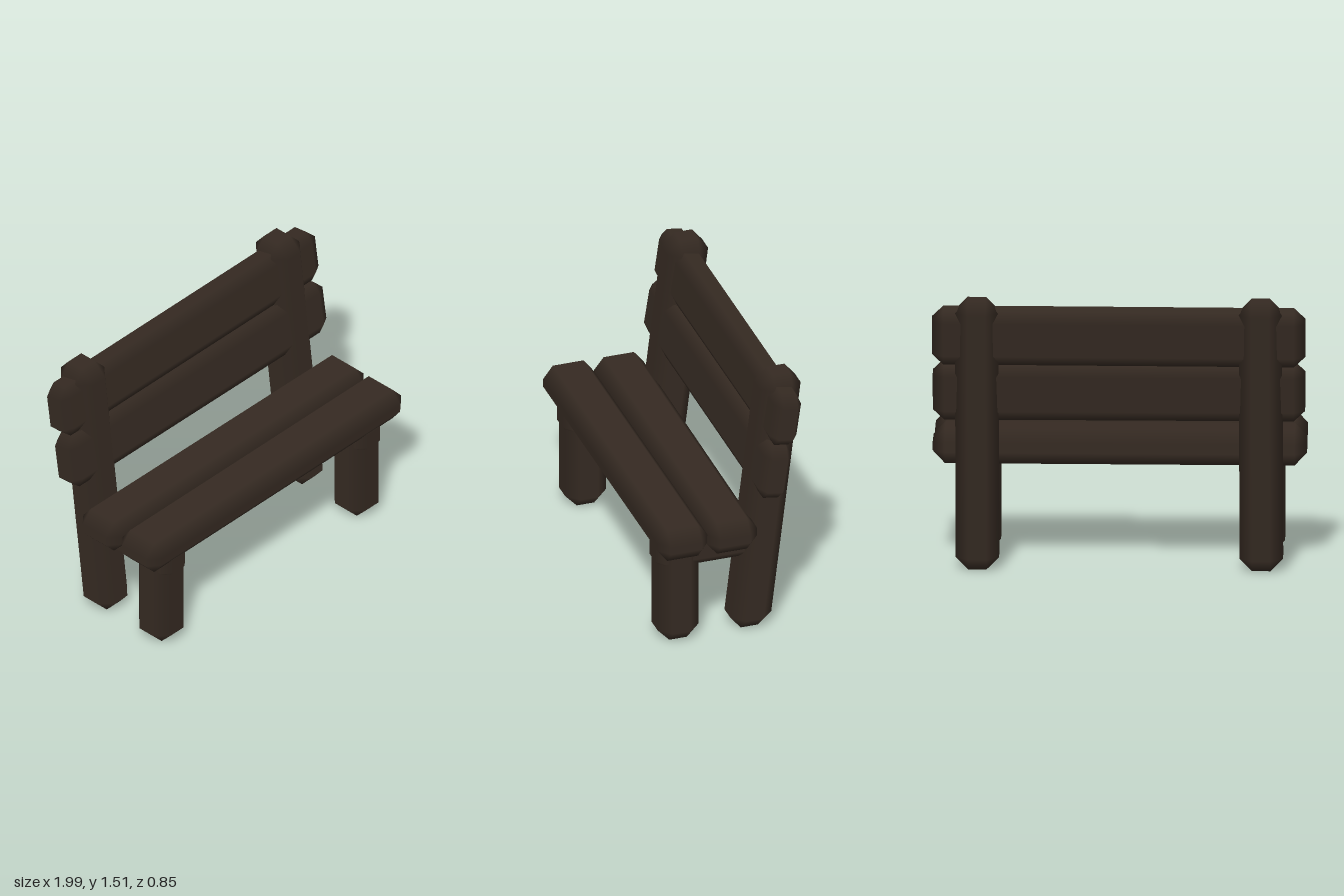
import * as THREE from 'three';
import { ConvexGeometry } from 'three/addons/geometries/ConvexGeometry.js';

const wood = new THREE.MeshStandardMaterial({ color: 0x352a22 });

// Chamfered timber: h = half sizes, b = chamfer per axis.
// Main faces stay flat while the chamfers shade smoothly between them.
function timberGeometry(h, b) {
  const points = [];
  for (const sx of [-1, 1]) for (const sy of [-1, 1]) for (const sz of [-1, 1]) {
    for (let axis = 0; axis < 3; axis++) {
      const c = h.map((v, i) => (i === axis ? v : v - b[i]));
      points.push(new THREE.Vector3(sx * c[0], sy * c[1], sz * c[2]));
    }
  }
  const geometry = new ConvexGeometry(points);
  const pos = geometry.attributes.position;
  const normal = geometry.attributes.normal;
  for (let i = 0; i < pos.count; i++) {
    const p = [pos.getX(i), pos.getY(i), pos.getZ(i)];
    const n = p.map((v, k) => (Math.abs(Math.abs(v) - h[k]) < 1e-4 ? Math.sign(v) : 0));
    normal.setXYZ(i, ...n);
  }
  return geometry;
}

function timber(name, h, b, position, rotation = [0, 0, 0]) {
  const mesh = new THREE.Mesh(timberGeometry(h, b), wood);
  mesh.name = name;
  mesh.position.set(...position);
  mesh.rotation.set(...rotation);
  return mesh;
}

export function createModel() {
  const bench = new THREE.Group();
  bench.name = 'bench';

  // Seat planks
  bench.add(
    timber('frontSeatPlank', [0.99, 0.095, 0.142], [0.065, 0.073, 0.055], [0, 0.655, 0.283], [0, 0.003, 0]),
    timber('rearSeatPlank', [0.995, 0.095, 0.14], [0.065, 0.07, 0.055], [0, 0.65, 0.002], [0, -0.003, 0])
  );

  // Backrest planks, leaning with the posts
  bench.add(
    timber('upperBackPlank', [0.993, 0.153, 0.078], [0.06, 0.06, 0.037], [0, 1.308, -0.293], [-0.14, 0, 0.002]),
    timber('lowerBackPlank', [0.99, 0.158, 0.079], [0.06, 0.06, 0.037], [0, 1.0, -0.235], [-0.15, 0, -0.001])
  );

  // Supports, mirrored left and right
  for (const [side, s] of [['left', 1], ['right', -1]]) {
    const x = 0.755 * s;
    bench.add(timber(side + 'FrontLeg', [0.115, 0.31, 0.115], [0.066, 0.07, 0.066], [x, 0.31, 0.264]));

    // Rear post slants backwards but keeps level ends
    const post = timber(side + 'RearPost', [0.115, 0.757, 0.115], [0.066, 0.07, 0.066], [x, 0.757, -0.228]);
    const lean = new THREE.Matrix4().set(1, 0, 0, 0, 0, 1, 0, 0, 0, -0.12, 1, 0, 0, 0, 0, 1);
    post.geometry.applyMatrix4(lean);
    bench.add(post);

    bench.add(timber(side + 'SeatBearer', [0.096, 0.095, 0.265], [0.05, 0.052, 0.045], [x, 0.535, 0.127]));
  }
  return bench;
}
